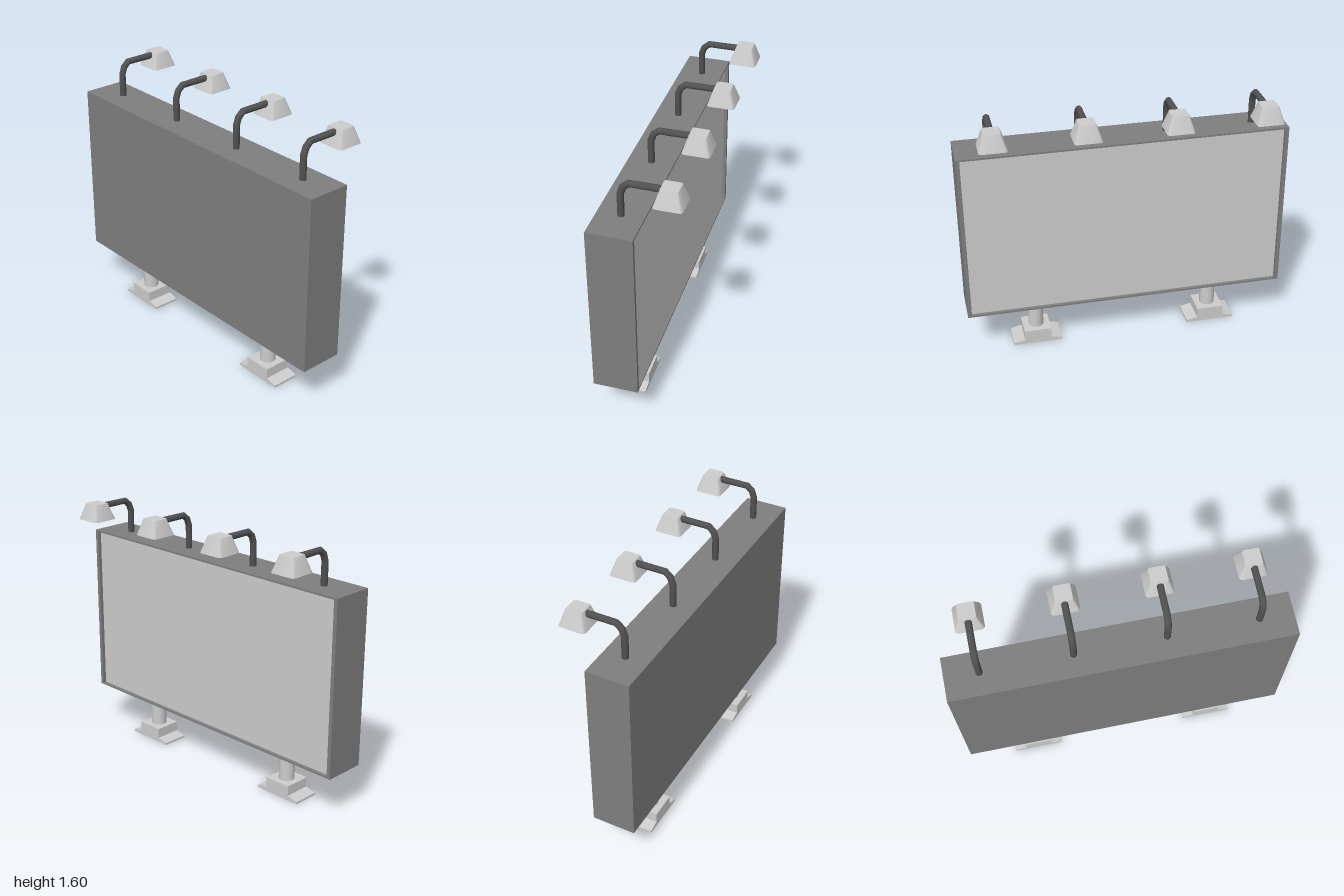
import * as THREE from 'three';
import { toCreasedNormals } from 'three/addons/utils/BufferGeometryUtils.js';

const lightGrey = new THREE.MeshStandardMaterial({ name: 'lightGrey', color: 0xcccccc });
const midGrey = new THREE.MeshStandardMaterial({ name: 'midGrey', color: 0x7e7e7e });
const darkGrey = new THREE.MeshStandardMaterial({ name: 'darkGrey', color: 0x505050 });

function addMesh(parent, name, geometry, material, x = 0, y = 0, z = 0) {
  const mesh = new THREE.Mesh(geometry, material);
  mesh.name = name;
  mesh.position.set(x, y, z);
  parent.add(mesh);
  return mesh;
}

// Extrudes a (z, y) outline along +x
function extrudeX(shape, depth) {
  return new THREE.ExtrudeGeometry(shape, { depth, bevelEnabled: false }).rotateY(Math.PI / 2);
}

function rectangle(PathType, halfWidth, y0, y1) {
  const path = new PathType();
  path.moveTo(-halfWidth, y0);
  path.lineTo(halfWidth, y0);
  path.lineTo(halfWidth, y1);
  path.lineTo(-halfWidth, y1);
  path.closePath();
  return path;
}

// Curve that visits its points exactly, for a pipe with crisp bends
class BentPath extends THREE.Curve {
  constructor(points) {
    super();
    this.points = points;
  }
  getPointAt(u, target = new THREE.Vector3()) {
    return target.copy(this.points[Math.round(u * (this.points.length - 1))]);
  }
  getTangentAt(u, target = new THREE.Vector3()) {
    const p = this.points, n = p.length - 1, i = Math.round(u * n);
    target.set(0, 0, 0);
    if (i > 0) target.add(p[i].clone().sub(p[i - 1]).normalize());
    if (i < n) target.add(p[i + 1].clone().sub(p[i]).normalize());
    return target.normalize();
  }
}

// Rounded square ring, counter-clockwise seen from above
function squareRing(half, y, corner) {
  const ring = [];
  for (let q = 0; q < 4; q++) {
    const mid = (q + 0.5) * Math.PI / 2;
    const cx = Math.sign(Math.cos(mid)) * (half - corner);
    const cz = -Math.sign(Math.sin(mid)) * (half - corner);
    for (let s = 0; s < 3; s++) {
      const a = q * Math.PI / 2 + s * Math.PI / 4;
      ring.push([cx + corner * Math.cos(a), y, cz - corner * Math.sin(a)]);
    }
  }
  return ring;
}

// Hollow lamp shade: ceiling, inner wall, rim, outer wall, top
function shadeGeometry() {
  const rings = [
    [0, 0.088, 0], [0.044, 0.088, 0.008], [0.076, 0, 0.016],
    [0.083, 0, 0.018], [0.05, 0.1, 0.01], [0, 0.1, 0],
  ].map(([half, y, corner]) => squareRing(half, y, corner));
  const positions = [];
  for (let i = 0; i < rings.length - 1; i++) {
    for (let j = 0; j < 12; j++) {
      const k = (j + 1) % 12;
      const a = rings[i][j], b = rings[i][k], c = rings[i + 1][k], d = rings[i + 1][j];
      if (i < rings.length - 2) positions.push(...a, ...b, ...c);
      else positions.push(...a, ...b, ...d);
      if (i > 0 && i < rings.length - 2) positions.push(...a, ...c, ...d);
      if (i === 0) positions.splice(-9, 9, ...a, ...c, ...d);
    }
  }
  const geometry = new THREE.BufferGeometry();
  geometry.setAttribute('position', new THREE.Float32BufferAttribute(positions, 3));
  return toCreasedNormals(geometry, 0.9);
}

export function createModel() {
  const model = new THREE.Group();
  model.name = 'billboard';

  // Casing with a raised rim around the sunken display panel
  const bottom = 0.285, top = 1.365, recess = -0.01;
  addMesh(model, 'casing', new THREE.BoxGeometry(0.24, top - bottom, 2), midGrey,
    -0.13, (top + bottom) / 2, 0);
  const rim = rectangle(THREE.Shape, 1, bottom, top);
  rim.holes.push(rectangle(THREE.Path, 0.976, bottom + 0.011, top - 0.011));
  addMesh(model, 'rim', extrudeX(rim, 0.025), midGrey, recess, 0, 0);
  addMesh(model, 'displayPanel', new THREE.BoxGeometry(0.004, top - bottom - 0.022, 1.952), lightGrey,
    recess + 0.002, (top + bottom) / 2, 0);

  // Posts on stepped feet
  const half = [[0.155, 0], [0.155, 0.014], [0.085, 0.03], [0.085, 0.093]];
  const outline = [...half, ...half.map(([z, y]) => [-z, y]).reverse()];
  const footGeometry = extrudeX(new THREE.Shape(outline.map(([z, y]) => new THREE.Vector2(z, y))), 0.17);
  const postGeometry = new THREE.CylinderGeometry(0.048, 0.048, 0.21, 20);
  for (const z of [0.567, -0.567]) {
    const leg = new THREE.Group();
    leg.name = 'leg';
    leg.position.z = z;
    addMesh(leg, 'foot', footGeometry, lightGrey, -0.203, 0, 0);
    addMesh(leg, 'post', postGeometry, lightGrey, -0.118, 0.19, 0);
    model.add(leg);
  }

  // Row of lamps on bent arms
  const armPath = new BentPath([[-0.115, 1.355], [-0.115, 1.505], [-0.1, 1.548], [-0.068, 1.576], [0.122, 1.576]]
    .map(([x, y]) => new THREE.Vector3(x, y, 0)));
  const armGeometry = toCreasedNormals(new THREE.TubeGeometry(armPath, 4, 0.02, 12), 0.55);
  const shade = shadeGeometry();
  for (const z of [-0.8, -0.267, 0.267, 0.8]) {
    const lamp = new THREE.Group();
    lamp.name = 'lamp';
    lamp.position.z = z;
    addMesh(lamp, 'arm', armGeometry, darkGrey);
    addMesh(lamp, 'shade', shade, lightGrey, 0.163, 1.5, 0);
    model.add(lamp);
  }
  return model;
}
